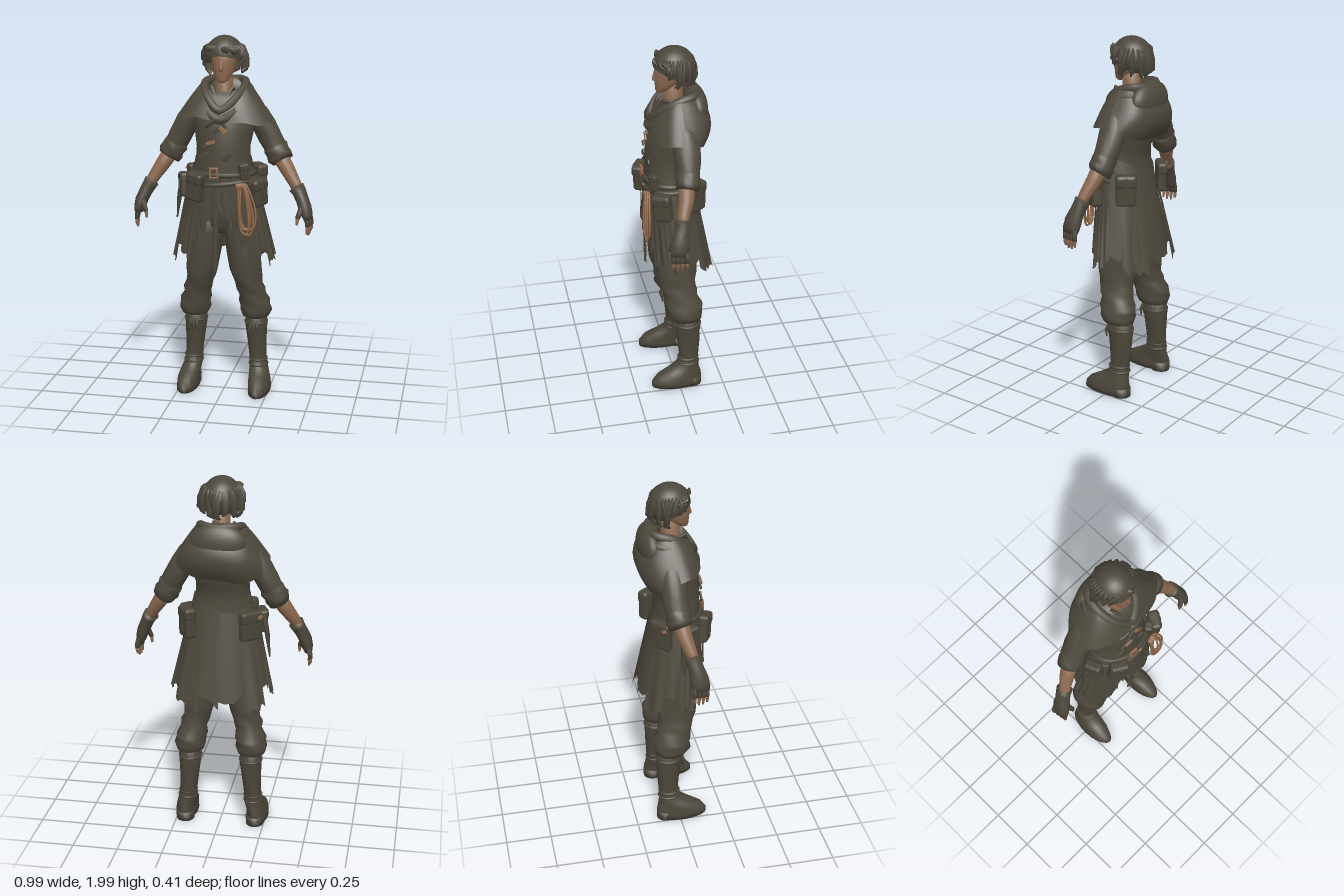
import * as THREE from 'three';
import { RoundedBoxGeometry } from 'three/addons/geometries/RoundedBoxGeometry.js';

const mat = (name, color, side = THREE.FrontSide) => {
  const m = new THREE.MeshStandardMaterial({ color, side });
  m.name = name;
  return m;
};
const V = (x, y, z) => new THREE.Vector3(x, y, z);

export function createModel() {
  const root = new THREE.Group();
  root.name = 'traveller';
  const cloth = mat('olive cloth', 0x4e493d, THREE.DoubleSide);
  const leather = mat('dark leather', 0x4b463a);
  const hair = mat('dark hair', 0x4c473c, THREE.DoubleSide);
  const skin = mat('skin', 0x8a684f);
  const brass = mat('rope and brass', 0x94694a);

  const add = (name, geo, m, parent = root) => {
    const mesh = new THREE.Mesh(geo, m);
    mesh.name = name;
    parent.add(mesh);
    return mesh;
  };

  // Closed skin over elliptical rings [x, y, z, rx, rz]; flat keeps rings horizontal
  function loft(rows, { flat = false, n = 20, wrinkle = 0 } = {}) {
    const pos = [], idx = [], c = rows.map(r => V(r[0], r[1], r[2]));
    rows.forEach((r, i) => {
      const t = c[Math.min(i + 1, c.length - 1)].clone().sub(c[Math.max(i - 1, 0)]);
      if (flat) t.set(0, Math.sign(t.y), 0);
      t.normalize();
      const u = V(0, 0, 1).cross(t).normalize(), w = t.clone().cross(u);
      for (let j = 0; j < n; j++) {
        const a = j / n * Math.PI * 2, k = 1 + wrinkle * Math.sin(3 * a + i * 2.1);
        const p = c[i].clone().addScaledVector(u, Math.cos(a) * r[3] * k).addScaledVector(w, Math.sin(a) * r[4] * k);
        pos.push(p.x, p.y, p.z);
      }
    });
    const last = (rows.length - 1) * n, s = rows.length * n;
    pos.push(...c[0].toArray(), ...c[c.length - 1].toArray());
    for (let j = 0; j < n; j++) {
      const k = (j + 1) % n;
      for (let o = 0; o < last; o += n) idx.push(o + j, o + k, o + n + j, o + k, o + n + k, o + n + j);
      idx.push(s, k, j, s + 1, last + j, last + k);
    }
    const g = new THREE.BufferGeometry();
    g.setAttribute('position', new THREE.Float32BufferAttribute(pos, 3));
    g.setIndex(idx);
    g.computeVertexNormals();
    return g;
  }
  const tube = (pts, r, closed = false) =>
    new THREE.TubeGeometry(new THREE.CatmullRomCurve3(pts.map(p => V(...p)), closed), 40, r, 8, closed);
  const box = (name, size, at, rot, m, parent = root) => {
    const b = add(name, new RoundedBoxGeometry(...size, 2, Math.min(...size) * 0.3), m, parent);
    b.position.set(...at);
    b.rotation.set(...rot);
    return b;
  };

  // Head, nose, neck
  add('head', loft([[0, 1.752, 0.062, 0.018, 0.018], [0, 1.765, 0.05, 0.034, 0.036], [0, 1.79, 0.03, 0.049, 0.058],
    [0, 1.82, 0.012, 0.06, 0.078], [0, 1.86, 0.002, 0.066, 0.09], [0, 1.91, -0.008, 0.07, 0.094], [0, 1.96, -0.02, 0.05, 0.065]], { flat: true }), skin);
  add('nose', loft([[0, 1.868, 0.084, 0.007, 0.008], [0, 1.835, 0.091, 0.009, 0.011], [0, 1.82, 0.09, 0.012, 0.013], [0, 1.812, 0.086, 0.007, 0.007]], { flat: true, n: 10 }), skin);
  add('neck', loft([[0, 1.80, -0.005, 0.043, 0.05], [0, 1.72, -0.012, 0.045, 0.05], [0, 1.65, 0.01, 0.07, 0.07]], { flat: true }), skin);

  // Hair: smooth tilted cap, wavy locks swept away from the parting
  const cap = add('hairCap', new THREE.SphereGeometry(1, 28, 16, 0, Math.PI * 2, 0, Math.PI * 0.62), hair);
  cap.scale.set(0.104, 0.108, 0.113);
  cap.position.set(0, 1.886, -0.016);
  cap.rotation.x = -0.42;
  for (let i = 0; i < 28; i++) {
    const a = i / 28 * Math.PI * 2, j = Math.sin(i * 7.3), front = Math.max(0, Math.sin(a));
    const sweep = -Math.sign(Math.cos(a) + 0.2) * front * 0.45 + j * 0.3;
    const end = 1.795 + 0.1 * Math.pow(front, 0.6) + 0.016 * j;
    const at = (k, r, y, w, d) => {
      const b = a + sweep * k;
      return [Math.cos(b) * r, y, Math.sin(b) * r - 0.014, w, d];
    };
    add('hairLock', loft([at(0, 0.075, 1.95, 0.006, 0.004), at(0.3, 0.096, 1.93, 0.016, 0.009), at(0.8, 0.106 + 0.005 * j, (1.935 + end) / 2 + 0.01, 0.02, 0.011),
      at(0.9, 0.108 + 0.008 * j, end + 0.02, 0.017, 0.01), at(1.8, 0.092 + 0.012 * j, end, 0.005, 0.003)], { n: 8 }), hair);
  }

  // Fitted coat body and hips
  add('coatBody', loft([[0, 1.70, -0.03, 0.07, 0.07], [0, 1.66, -0.025, 0.13, 0.1], [0, 1.6, -0.015, 0.17, 0.125], [0, 1.5, -0.009, 0.163, 0.144],
    [0, 1.4, 0.02, 0.145, 0.124], [0, 1.33, 0.022, 0.15, 0.121], [0, 1.25, 0.022, 0.168, 0.127], [0, 1.18, 0.018, 0.178, 0.13]], { flat: true, n: 32 }), cloth);
  add('hips', loft([[0, 1.2, 0.015, 0.165, 0.12], [0, 1.05, 0.0, 0.175, 0.125], [0, 0.97, 0, 0.15, 0.11], [0, 0.93, 0, 0.06, 0.08]], { flat: true }), cloth);

  // Skirt panels lie on a flaring oval; angle 0 = left side, 90 = front
  function panel(name, a0, a1, top, hem0, hem1, out = 0, point = 0.05) {
    const g = new THREE.PlaneGeometry(1, 1, 8, 8), p = g.attributes.position;
    for (let i = 0; i < p.count; i++) {
      const u = p.getX(i) + 0.5, v = 0.5 - p.getY(i);
      const a = THREE.MathUtils.degToRad(a0 + (a1 - a0) * u);
      const hem = hem0 + (hem1 - hem0) * u + point * Math.abs(Math.sin(u * Math.PI * 2.5));
      const y = top + (hem - top) * v, k = (1.25 - y) / 0.5;
      const fold = out + 0.008 * v * Math.sin(u * 9 + a0);
      p.setXYZ(i, Math.cos(a) * (0.172 + 0.105 * k + fold), y,
        0.022 - 0.05 * k + Math.sin(a) * (0.128 + 0.042 * k + fold));
    }
    g.computeVertexNormals();
    add(name, g, cloth);
  }
  panel('coatBack', 182, 272, 1.35, 0.82, 0.74, 0);
  panel('coatBack', 268, 358, 1.35, 0.74, 0.82, 0.004);
  panel('backTail', 205, 240, 1.2, 0.74, 0.7, 0.01, 0.03);
  panel('backTail', 290, 330, 1.2, 0.7, 0.76, 0.01, 0.03);
  for (const s of [0, 1]) {
    const m = a => s ? 180 - a : a;
    panel('coatSide', m(-8), m(48), 1.3, 0.82, 0.84, 0.002, 0.04);
    panel('coatFront', m(40), m(72), 1.27, 0.83, 0.94, 0.008, 0.03);
    panel('frontFlap', m(66), m(92), 1.25, 0.94, 1.12, 0.006, 0.02);
    // Torn strips
    [[-8, 8, 0.76], [12, 28, 0.74], [27, 42, 0.79], [41, 54, 0.77], [54, 64, 0.84], [64, 72, 0.92]].forEach(([a, b, y], i) =>
      panel('tornStrip', m(a), m(b), 1.15, y + 0.06, y, 0.011 + 0.007 * (i % 2), 0.012));
  }
  panel('centreStrip', 90, 98, 1.2, 0.78, 0.68, 0.004, 0);

  // Cape draped over the shoulders: squarish plan, lower at the back
  const capeGeo = new THREE.PlaneGeometry(1, 1, 56, 10), cp = capeGeo.attributes.position;
  for (let i = 0; i < cp.count; i++) {
    const a = (cp.getX(i) + 0.5) * Math.PI * 2, v = 0.5 - cp.getY(i);
    const s = Math.sin(a), c = Math.cos(a), q = (t, e) => Math.sign(t) * Math.pow(Math.abs(t), e);
    const hem = 1.545 + (s > 0 ? 0.01 * s : 0.085 * s) + 0.006 * Math.sin(a * 7) - 0.03 * s * c;
    cp.setXYZ(i, q(c, 0.85) * (0.115 + 0.145 * Math.pow(v, 0.85)), 1.75 + (hem - 1.75) * v - 0.05 * Math.max(0, s) * (1 - v),
      -0.025 + q(s, 0.7) * (0.085 + (s > 0 ? 0.074 * Math.pow(v, 0.6) : 0.092 * Math.sin(v * 2.65))));
  }
  capeGeo.computeVertexNormals();
  add('cape', capeGeo, cloth);

  // Hood lying down the back and its rolled collar
  const hood = add('hood', new THREE.SphereGeometry(1, 28, 16), cloth);
  hood.scale.set(0.15, 0.105, 0.064);
  hood.position.set(0, 1.665, -0.124);
  hood.rotation.x = 0.08;
  const ring = (w, y, r, d) => tube([[0, y + 0.005, -0.13 - d], [w * 0.8, y + 0.008, -0.1], [w, y - 0.01, -0.02], [w * 0.72, y - 0.065, 0.065],
    [0, y - 0.13, 0.112 + d], [-w * 0.72, y - 0.065, 0.065], [-w, y - 0.01, -0.02], [-w * 0.8, y + 0.008, -0.1]], r, true);
  add('hoodRim', ring(0.11, 1.738, 0.024, 0.002), cloth);
  add('hoodFold', ring(0.138, 1.69, 0.026, 0.01), cloth);
  add('hoodCross', tube([[0.13, 1.67, 0.03], [0.06, 1.615, 0.1], [-0.02, 1.565, 0.128], [-0.08, 1.525, 0.12]], 0.015), cloth);
  for (const s of [1, -1]) box('shirtCollar', [0.016, 0.085, 0.04], [s * 0.04, 1.69, 0.055], [-0.4, 0, s * -0.45], cloth);

  // Front belts, buckles and chest fastenings
  const oval = (rx, rz, y, tilt) => Array.from({ length: 13 }, (_, i) => {
    const a = i / 12 * Math.PI * 1.1 - Math.PI * 0.05;
    return [Math.cos(a) * rx, y + tilt * Math.cos(a), 0.022 + Math.sin(a) * rz];
  });
  add('belt', tube(oval(0.168, 0.13, 1.265, 0), 0.014), leather);
  add('lowBelt', tube(oval(0.18, 0.136, 1.215, 0.02), 0.012), leather);
  for (const [x, y, w, h, r] of [[-0.045, 1.28, 0.011, 0.055, 0], [-0.005, 1.28, 0.011, 0.055, 0.1], [-0.025, 1.305, 0.05, 0.01, 0], [-0.025, 1.255, 0.05, 0.01, 0], [0.025, 1.225, 0.03, 0.01, 0.4]])
    box('buckle', [w, h, 0.012], [x, y, 0.16], [0, 0, r], brass);
  for (const [x, y, w] of [[0.01, 1.515, 0.08], [-0.045, 1.435, 0.08], [0.055, 1.365, 0.06], [-0.075, 1.365, 0.05]])
    box('chestStrap', [w, 0.026, 0.01], [x - 0.01, y, 0.138], [0, 0, 0.6], leather);
  box('toggle', [0.05, 0.022, 0.01], [0.02, 1.51, 0.145], [0, 0, -0.8], brass);
  box('toggle', [0.05, 0.018, 0.01], [-0.045, 1.44, 0.145], [0, 0, 0.25], brass);

  // Pouches around the hips: position, facing angle, tilt, size
  for (const [x, y, z, ry, rz, w, h, d] of [[-0.13, 1.2, 0.15, -0.5, -0.15, 0.1, 0.155, 0.055], [-0.21, 1.19, 0.055, -1.2, 0.1, 0.09, 0.13, 0.05],
    [0.205, 1.17, 0.09, 1.0, 0.12, 0.1, 0.15, 0.06], [0.13, 1.285, 0.12, 0.6, 0.1, 0.05, 0.09, 0.04],
    [0.175, 1.205, -0.095, 2.2, 0, 0.11, 0.17, 0.06], [-0.165, 1.2, -0.09, -2.4, 0, 0.12, 0.16, 0.05]]) {
    const g = new THREE.Group();
    g.name = 'pouch';
    g.position.set(x, y, z);
    g.rotation.set(0, ry, rz);
    root.add(g);
    box('pouchBody', [w, h, d], [0, 0, 0], [0, 0, 0], leather, g);
    box('pouchFlap', [w * 1.05, h * 0.42, d * 1.1], [0, h * 0.3, 0.002], [0, 0, 0], leather, g);
    box('pouchStrap', [0.018, h * 0.7, 0.01], [0, h * 0.1, d * 0.54], [0, 0, 0], leather, g);
  }
  box('pouchCorner', [0.028, 0.02, 0.008], [-0.222, 1.25, -0.09], [0, -2.4, 0.5], brass);
  add('sheath', loft([[-0.225, 1.24, 0.02, 0.014, 0.02], [-0.245, 1.12, 0.02, 0.014, 0.024], [-0.262, 0.99, 0.01, 0.004, 0.006]], { n: 8 }), leather);

  // Coiled rope
  for (const [w, h, x, z] of [[0.04, 0.14, 0.15, 0.17], [0.03, 0.125, 0.145, 0.178], [0.045, 0.125, 0.158, 0.16], [0.025, 0.14, 0.14, 0.165]])
    add('ropeLoop', tube([[x - 0.03, 1.22, z - 0.012], [x - w * 0.9, 1.22 - h, z], [x - w * 0.4, 1.22 - 1.85 * h, z], [x + w * 0.6, 1.22 - 1.9 * h, z],
      [x + w, 1.22 - 1.2 * h, z], [x - 0.015, 1.225, z - 0.01]], 0.0055, true), brass);
  box('ropeTie', [0.045, 0.03, 0.03], [0.115, 1.215, 0.16], [0, 0.3, 0.2], brass);

  for (const s of [1, -1]) {
    const limb = (name, rows, m, opt) => add(name, loft(rows.map(([x, ...r]) => [s * x, ...r]), opt), m);

    // Arm: sleeve, rolled cuff, bare forearm, glove
    limb('sleeve', [[0.14, 1.625, -0.03, 0.045, 0.06], [0.175, 1.575, -0.03, 0.06, 0.07], [0.215, 1.51, -0.035, 0.064, 0.072], [0.247, 1.45, -0.035, 0.063, 0.068], [0.28, 1.39, -0.028, 0.06, 0.062], [0.305, 1.345, -0.024, 0.055, 0.058]], cloth, { wrinkle: 0.03 });
    limb('sleeveCuff', [[0.265, 1.415, -0.028, 0.056, 0.056], [0.275, 1.395, -0.028, 0.068, 0.067], [0.291, 1.368, -0.026, 0.064, 0.063], [0.3, 1.35, -0.025, 0.07, 0.067], [0.316, 1.325, -0.022, 0.06, 0.06], [0.31, 1.333, -0.02, 0.04, 0.04]], cloth, { wrinkle: 0.04 });
    limb('forearm', [[0.3, 1.355, -0.02, 0.045, 0.045], [0.348, 1.28, -0.005, 0.04, 0.04], [0.39, 1.215, 0.018, 0.033, 0.032], [0.415, 1.17, 0.03, 0.03, 0.03]], skin);
    limb('glove', [[0.4, 1.193, 0.022, 0.043, 0.044], [0.415, 1.17, 0.028, 0.038, 0.04], [0.435, 1.13, 0.038, 0.035, 0.042], [0.452, 1.09, 0.048, 0.035, 0.05], [0.464, 1.05, 0.054, 0.03, 0.05], [0.469, 1.025, 0.056, 0.022, 0.045]], leather, { wrinkle: 0.03 });
    [0.018, 0.042, 0.066, 0.088].forEach((z, i) => {
      const tip = 0.955 - [0, 0.015, 0.015, 0.005][i], dx = 0.012 - i * 0.004;
      limb('gloveFinger', [[0.462 + dx, 1.045, z, 0.014, 0.013], [0.471 + dx, 1.01, z, 0.013, 0.012], [0.472 + dx, 0.99, z, 0.012, 0.012]], leather, { n: 8 });
      limb('fingertip', [[0.472 + dx, 0.995, z, 0.01, 0.01], [0.472 + dx, 0.97, z, 0.009, 0.009], [0.467 + dx, tip, z, 0.005, 0.005]], skin, { n: 8 });
    });
    limb('gloveThumb', [[0.442, 1.1, 0.072, 0.018, 0.018], [0.427, 1.06, 0.088, 0.015, 0.015], [0.418, 1.035, 0.092, 0.013, 0.013]], leather, { n: 8 });
    limb('thumbTip', [[0.418, 1.04, 0.091, 0.011, 0.011], [0.415, 1.0, 0.093, 0.006, 0.006]], skin, { n: 8 });

    // Baggy trousers gathered in folds below the knee
    limb('trouserLeg', [[0.08, 1.06, 0, 0.09, 0.115], [0.095, 0.93, 0, 0.096, 0.118], [0.108, 0.82, 0, 0.092, 0.116], [0.122, 0.72, 0, 0.088, 0.113], [0.13, 0.67, -0.003, 0.08, 0.105],
      [0.139, 0.63, -0.008, 0.074, 0.097], [0.15, 0.6, -0.015, 0.08, 0.096], [0.156, 0.565, -0.022, 0.072, 0.092], [0.166, 0.525, -0.035, 0.087, 0.104], [0.17, 0.5, -0.037, 0.082, 0.099], [0.173, 0.47, -0.037, 0.088, 0.102],
      [0.173, 0.437, -0.045, 0.075, 0.088], [0.172, 0.425, -0.05, 0.05, 0.06]], cloth, { flat: true, wrinkle: 0.03, n: 24 });

    // Tall boot
    limb('boot', [[0.172, 0.46, -0.055, 0.06, 0.07], [0.172, 0.38, -0.056, 0.062, 0.072], [0.177, 0.28, -0.06, 0.053, 0.063], [0.183, 0.19, -0.06, 0.048, 0.055],
      [0.187, 0.14, -0.055, 0.051, 0.06], [0.195, 0.105, -0.027, 0.055, 0.092], [0.202, 0.07, 0.003, 0.059, 0.129], [0.204, 0.035, 0.012, 0.061, 0.143], [0.204, 0.008, 0.012, 0.061, 0.143]], leather, { flat: true, wrinkle: 0.02 });
    limb('heel', [[0.2, 0.05, -0.075, 0.052, 0.055], [0.2, 0, -0.075, 0.05, 0.055]], leather, { flat: true });
    for (const [x, y, r] of [[0.172, 0.395, 0.06], [0.186, 0.175, 0.046], [0.187, 0.145, 0.049]]) {
      const strap = add('bootStrap', new THREE.TorusGeometry(r, 0.007, 8, 24), leather);
      strap.rotation.x = Math.PI / 2;
      strap.scale.y = 1.16;
      strap.position.set(s * x, y, -0.056);
    }
    for (const dx of [-0.024, 0, 0.022])
      limb('bootTassel', [[0.172 + dx * 0.5, 0.41, 0.018, 0.008, 0.007], [0.172 + dx, 0.37, 0.028, 0.01, 0.007], [0.172 + dx * 1.2, 0.335, 0.02, 0.004, 0.004]], leather, { n: 8 });
  }
  return root;
}
